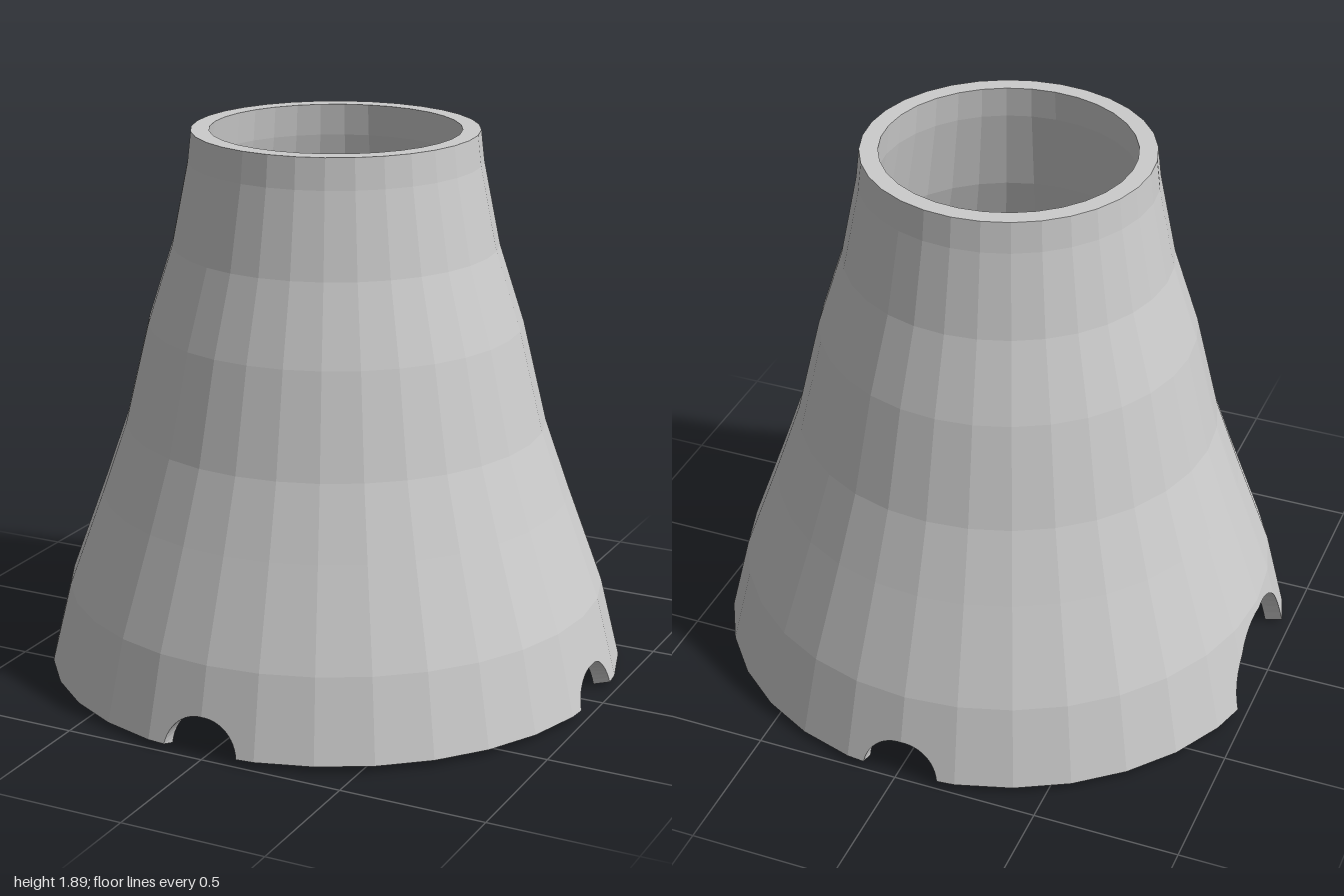
import * as THREE from 'three';

const SIDES = 32, STEP = 2 * Math.PI / SIDES;

// wall profiles as [radius, height], bottom to top
const OUTER = [[1, 0.02], [0.932, 0.3], [0.81, 0.635], [0.725, 0.88], [0.642, 1.23], [0.556, 1.5], [0.499, 1.785], [0.487, 1.89]];
const INNER = [[0.94, 0], [0.872, 0.285], [0.75, 0.615], [0.664, 0.862], [0.58, 1.215], [0.494, 1.487], [0.437, 1.78], [0.425, 1.89]];

// notch radii at +x, +z, -x (the large one) and -z
const NOTCHES = [0.135, 0.135, 0.267, 0.135];
const NOTCH_SEGMENTS = 24;

// radius of the many-sided wall at an angle
function facetRadius(r, angle) {
  const t = angle - Math.floor(angle / STEP) * STEP;
  return r * Math.cos(STEP / 2) / Math.cos(t - STEP / 2);
}

const wallPoint = (r, y, angle) => {
  const R = facetRadius(r, angle);
  return new THREE.Vector3(R * Math.cos(angle), y, R * Math.sin(angle));
};

// one wall surface in a vertical plane, starting at height y0
function wallColumn(profile, angle, y0) {
  const [[r0, b], [r1, y1]] = profile;
  const start = r0 + (r1 - r0) * (y0 - b) / (y1 - b);
  return [wallPoint(start, y0, angle), ...profile.slice(1).map(([r, y]) => wallPoint(r, y, angle))];
}

// wall column that starts on the rim of a round notch; t runs 0..1 across it
function notchColumn(profile, centre, w, t) {
  const [[r0, b], [r1, y1]] = profile;
  const low = Math.asin(b / w);
  const phi = Math.PI - low - t * (Math.PI - 2 * low);
  const y = w * Math.sin(phi), side = w * Math.cos(phi);
  const r = r0 + (r1 - r0) * (y - b) / (y1 - b);
  let d = 0;
  for (let i = 0; i < 12; i++) d = Math.asin(side / facetRadius(r, centre + d));
  return wallColumn(profile, centre + d, y);
}

// closed wall sections: up the outside, down the inside
function wallSections() {
  const sections = [];
  const add = (column) => sections.push([...column(OUTER), ...column(INNER).reverse()]);
  NOTCHES.forEach((w, q) => {
    const centre = q * Math.PI / 2;
    for (let i = 0; i <= NOTCH_SEGMENTS; i++) add((p) => notchColumn(p, centre, w, i / NOTCH_SEGMENTS));
    const next = NOTCHES[(q + 1) % 4];
    for (let j = 1; j < SIDES / 4; j++) {
      const clear = j * STEP > Math.asin(w / 0.93) && (SIDES / 4 - j) * STEP > Math.asin(next / 0.93);
      if (clear) add((p) => wallColumn(p, centre + j * STEP, p[0][1]));
    }
  });
  return sections;
}

export function createModel() {
  const sections = wallSections();
  const positions = [];
  sections.forEach((a, i) => {
    const b = sections[(i + 1) % sections.length];
    a.forEach((p, k) => {
      const n = (k + 1) % a.length;
      for (const v of [p, a[n], b[n], p, b[n], b[k]]) positions.push(v.x, v.y, v.z);
    });
  });
  const geometry = new THREE.BufferGeometry();
  geometry.setAttribute('position', new THREE.Float32BufferAttribute(positions, 3));
  geometry.computeVertexNormals();

  const wall = new THREE.Mesh(geometry, new THREE.MeshStandardMaterial({ color: 0xcccccc, flatShading: true }));
  wall.name = 'notchedConeWall';
  wall.position.x = -0.013;

  const group = new THREE.Group();
  group.name = 'hollowFlaredCone';
  group.add(wall);
  return group;
}
